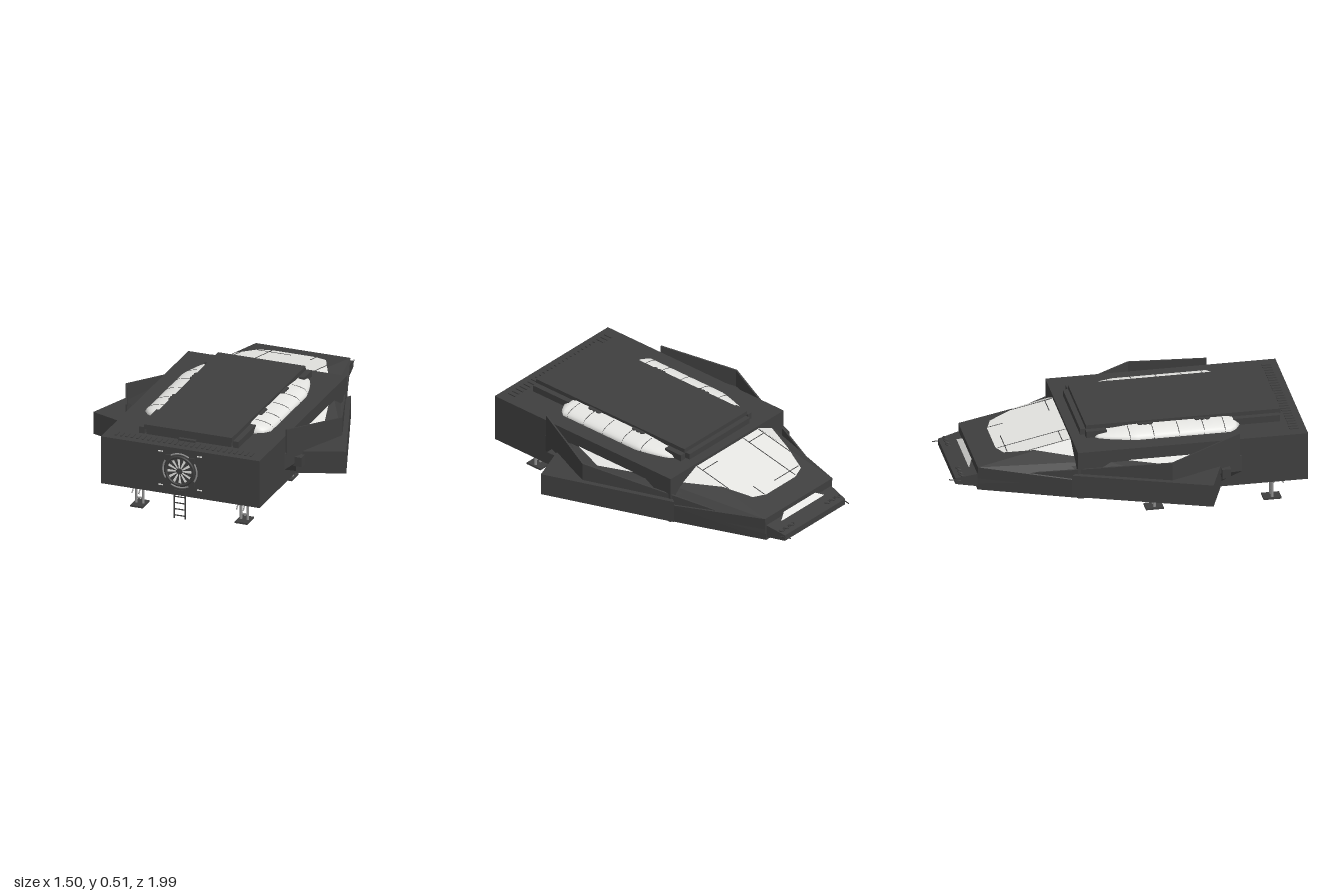
import * as THREE from 'three';
import { ConvexGeometry } from 'three/addons/geometries/ConvexGeometry.js';
import { ParametricGeometry } from 'three/addons/geometries/ParametricGeometry.js';

const material = (name, color, side = THREE.FrontSide) =>
  Object.assign(new THREE.MeshStandardMaterial({ color, side }), { name });

export function createModel() {
  const ship = new THREE.Group();
  ship.name = 'spaceship';
  const dark = material('dark hull', 0x3f3f3f);
  const light = material('pale glass', 0xe6e6e3, THREE.DoubleSide);
  const metal = material('grey metal', 0x909090);
  const V = (x, y, z) => new THREE.Vector3(x, y, z);

  const add = (name, geometry, mat, parent = ship) => {
    const mesh = new THREE.Mesh(geometry, mat);
    mesh.name = name;
    parent.add(mesh);
    return mesh;
  };
  // Box given by its min and max on each axis
  const box = (name, [x0, x1], [y0, y1], [z0, z1], mat = dark, parent = ship) => {
    const m = add(name, new THREE.BoxGeometry(x1 - x0, y1 - y0, z1 - z0), mat, parent);
    m.position.set((x0 + x1) / 2, (y0 + y1) / 2, (z0 + z1) / 2);
    return m;
  };
  // Convex solid from corners, x multiplied by s
  const solid = (name, pts, s = 1, mat = dark) =>
    add(name, new ConvexGeometry(pts.map(([x, y, z]) => V(x * s, y, z))), mat);
  // Thin facet from a fan of corners
  const facet = (name, pts, s = 1) => {
    const g = new THREE.BufferGeometry().setFromPoints(pts.map(([x, y, z]) => V(x * s, y, z)));
    const index = [];
    for (let i = 1; i < pts.length - 1; i++) index.push(0, i + 1, i);
    g.setIndex(index);
    g.computeVertexNormals();
    return add(name, g, light);
  };
  const rod = (name, a, b, r, mat = metal, parent = ship) => {
    const d = b.clone().sub(a);
    const m = add(name, new THREE.CylinderGeometry(r, r, d.length(), 8), mat, parent);
    m.position.copy(a).add(b).multiplyScalar(0.5);
    m.quaternion.setFromUnitVectors(V(0, 1, 0), d.normalize());
    return m;
  };

  // Main hull and roof
  box('mainHull', [-0.47, 0.47], [0.17, 0.45], [-0.315, 0.975]);
  box('roofBase', [-0.25, 0.25], [0.445, 0.485], [-0.26, 0.85]);
  box('roofSlab', [-0.26, 0.26], [0.483, 0.51], [-0.23, 0.86]);
  box('roofHandle', [-0.05, 0.05], [0.455, 0.467], [0.86, 0.88]);
  for (let i = 0; i < 26; i++) {
    const x = -0.4 + i * 0.032;
    box('roofLouvre', [x - 0.006, x + 0.006], [0.449, 0.456], [0.885, 0.935]);
  }

  // Nose with sloping top
  const topY = (z) => 0.43 - (-0.31 - z) * (0.11 / 0.53);
  const nose = [];
  for (const s of [-1, 1]) nose.push(
    [0.26 * s, 0.43, -0.31], [0.40 * s, 0.36, -0.31], [0.47 * s, 0.28, -0.31], [0.46 * s, 0.17, -0.31],
    [0.28 * s, 0.32, -0.84], [0.27 * s, 0.18, -0.84]);
  solid('nose', nose);
  const tip = [];
  for (const s of [-1, 1]) tip.push(
    [0.27 * s, 0.275, -0.84], [0.27 * s, 0.2, -0.84], [0.25 * s, 0.25, -0.96], [0.25 * s, 0.215, -0.96]);
  solid('noseTip', tip);
  facet('noseWindow', [[-0.18, 0.272, -0.87], [-0.13, 0.3, -0.846], [0.13, 0.3, -0.846], [0.18, 0.272, -0.87]]);

  // Canopy glass and its bars
  const lift = (x, z) => [x, topY(z) + 0.005, z];
  facet('canopy', [lift(-0.12, -0.71), lift(-0.2, -0.68), lift(-0.27, -0.52), lift(-0.26, -0.316),
    lift(0.26, -0.316), lift(0.27, -0.52), lift(0.2, -0.68), lift(0.12, -0.71)]);
  const bar = (x0, z0, x1, z1) =>
    rod('canopyBar', V(...lift(x0, z0)), V(...lift(x1, z1)), 0.0025, dark);
  bar(-0.2, -0.66, 0, -0.66);
  bar(-0.13, -0.7, -0.13, -0.32);
  bar(0.13, -0.7, 0.13, -0.62);
  for (const s of [-1, 1]) {
    bar(0.255 * s, -0.55, 0.255 * s, -0.32);
    bar(0.13 * s, -0.36, 0.25 * s, -0.36);
  }

  for (const s of [-1, 1]) {
    // Canopy cheek
    facet('canopyCheek', [[0.27, topY(-0.52) + 0.005, -0.52], [0.37, 0.383, -0.318], [0.26, 0.435, -0.316]], s);

    // Domed side skylight
    const dome = (u, v, target) => {
      const k = Math.pow(Math.max(0, Math.min(1, u / 0.28, (1 - u) / 0.08)), 0.6);
      const a = v * Math.PI / 2;
      target.set(s * (0.25 + (0.035 + 0.088 * k) * Math.sin(a)),
        0.448 + (0.015 + 0.031 * k) * Math.pow(Math.cos(a), 0.8), -0.2 + 0.83 * u);
    };
    add('skylight', new ParametricGeometry(dome, 24, 8), light);
    for (const u of [0.24, 0.4, 0.57, 0.74, 0.88]) {
      const pts = [0.1, 0.4, 0.7, 0.98].map((v) => { const p = V(0, 0, 0); dome(u, v, p); return p; });
      add('skylightBar', new THREE.TubeGeometry(new THREE.CatmullRomCurve3(pts), 8, 0.002, 5), dark);
    }

    // Roof rails and vents
    for (const z of [[0.59, 0.85], [-0.235, -0.12]]) {
      const r = box('roofRail', [0.262, 0.295], [0.445, 0.488], z);
      r.position.x *= s;
    }
    for (const z of [0.1, 0.42]) for (let i = -1; i < 2; i++) {
      const knob = add('roofVent', new THREE.CylinderGeometry(0.016, 0.016, 0.015, 10), dark);
      knob.position.set(0.265 * s, 0.492, z + i * 0.028);
    }

    // Side pod under the fins
    solid('sidePod', [[0.25, 0.18, -0.84], [0.27, 0.24, -0.84], [0.45, 0.17, -0.3], [0.46, 0.17, 0.45],
      [0.64, 0.32, 0.18], [0.46, 0.38, -0.15], [0.46, 0.38, 0.42], [0.46, 0.35, 0.63], [0.46, 0.25, 0.63]], s);
    facet('podWindow', [[0.471, 0.382, -0.04], [0.53, 0.364, 0.17], [0.471, 0.382, 0.36]], s);

    // Fin walls meeting at the outer corner
    const fin = (name, a, b) => solid(name, [a, b].flatMap(([x, z, lo, hi]) =>
      [[x, lo, z], [x, hi, z], [x - 0.01, lo, z], [x - 0.01, hi, z]]), s);
    fin('frontFin', [0.275, -0.84, 0.22, 0.26], [0.643, 0.18, 0.31, 0.425]);
    fin('aftFin', [0.643, 0.18, 0.31, 0.425], [0.48, 0.59, 0.34, 0.488]);

    // Angled wing box and small thruster
    solid('wingBox', [0.19, 0.32].flatMap((y) =>
      [[0.48, y, -0.35], [0.75, y, 0.39], [0.49, y, 0.485], [0.3, y, -0.1]]), s);
    const thruster = box('thruster', [0.46, 0.54], [0.25, 0.305], [0.48, 0.53]);
    thruster.position.x *= s;

    // Nose lamps and probes
    for (let i = 0; i < 3; i++) {
      const lamp = add('noseLamp', new THREE.TorusGeometry(0.016, 0.004, 6, 16), dark);
      lamp.rotation.x = -Math.PI / 2 + 0.2;
      lamp.position.set(s * (0.15 + 0.04 * i), 0.26, -0.92);
    }
    rod('noseProbe', V(0.255 * s, 0.235, -0.93), V(0.24 * s, 0.24, -0.995), 0.003, dark);

    // Landing legs
    for (const z of [0.8, 0.14]) {
      const leg = new THREE.Group();
      leg.name = 'landingLeg';
      leg.position.set(0.31 * s, 0, z);
      ship.add(leg);
      box('foot', [-0.037, 0.037], [0, 0.01], [-0.05, 0.05], dark, leg);
      box('legMount', [-0.05, 0.05], [0.163, 0.172], [-0.07, 0.09], dark, leg);
      for (const x of [-0.02, 0.02]) {
        rod('strut', V(x, 0.01, 0), V(x, 0.17, 0), 0.008, metal, leg);
        rod('brace', V(x, 0.09, z > 0.5 ? 0 : 0.07), V(x, 0.17, z > 0.5 ? 0.08 : 0), 0.005, metal, leg);
        if (z > 0.5) rod('brace', V(x, 0.09, 0.065), V(x, 0.16, 0), 0.004, metal, leg);
      }
      rod('axle', V(-0.025, 0.04, 0), V(0.025, 0.04, 0), 0.006, metal, leg);
    }

    // Hatch marks and ladder rails
    for (const y of [0.22, 0.42])
      box('hatchMark', [0.115 * s - 0.014, 0.115 * s + 0.014], [y - 0.003, y + 0.003], [0.974, 0.979], light);
    box('ladderRail', [0.033 * s - 0.003, 0.033 * s + 0.003], [0.035, 0.22], [0.976, 0.983], dark);
  }
  for (let i = 0; i < 5; i++)
    box('ladderRung', [-0.033, 0.033], [0.05 + i * 0.037, 0.055 + i * 0.037], [0.977, 0.982], dark);

  // Round hatch with fan
  const hatch = new THREE.Group();
  hatch.name = 'fanHatch';
  hatch.position.set(0, 0.32, 0.975);
  ship.add(hatch);
  box('fanFrame', [-0.085, 0.085], [-0.085, 0.085], [-0.01, 0.006], dark, hatch);
  add('fanRim', new THREE.TorusGeometry(0.083, 0.007, 8, 40), dark, hatch).position.z = 0.008;
  for (let i = 0; i < 4; i++) {
    const arc = add('hatchArc', new THREE.TorusGeometry(0.1, 0.005, 6, 16, 1.1), metal, hatch);
    arc.rotation.z = i * Math.PI / 2 - 0.55;
    arc.position.z = 0.005;
  }
  for (let i = 0; i < 12; i++) {
    const blade = new THREE.Shape([[0.018, -0.003], [0.07, -0.004], [0.072, 0.012], [0.018, 0.004]]
      .map(([x, y]) => new THREE.Vector2(x, y)));
    const m = add('fanBlade', new THREE.ShapeGeometry(blade), light, hatch);
    m.rotation.z = i * Math.PI / 6;
    m.position.z = 0.012;
  }
  const hub = add('fanHub', new THREE.CylinderGeometry(0.018, 0.018, 0.015, 16), dark, hatch);
  hub.rotation.x = Math.PI / 2;
  hub.position.z = 0.008;

  // Belly ribs
  for (let i = 0; i < 9; i++) {
    const z = -0.6 + i * 0.17, w = z < -0.3 ? 0.2 : 0.24;
    box('bellyRib', [-w, w], [0.164, 0.172], [z - 0.05, z + 0.05]);
  }
  return ship;
}
